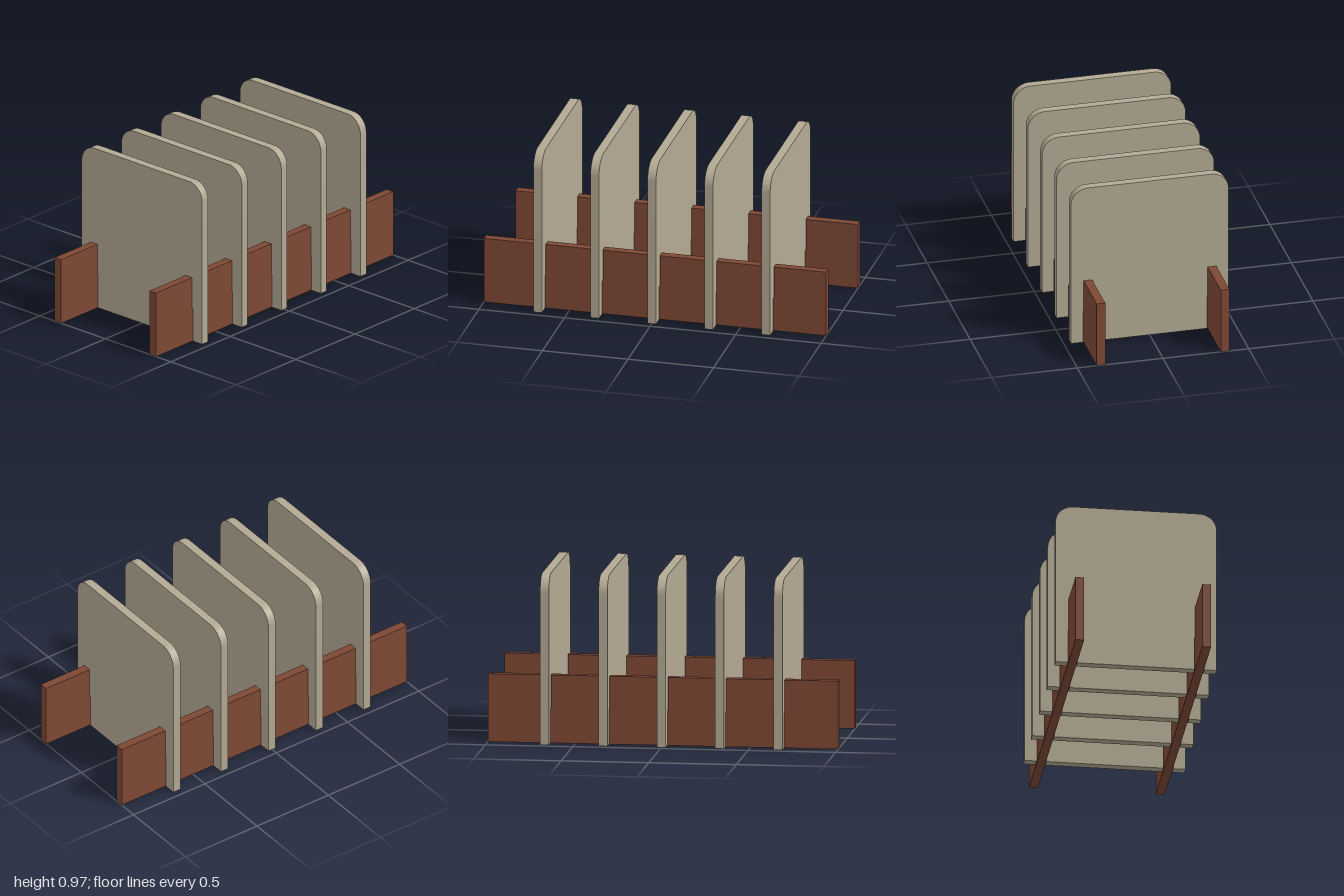
import * as THREE from 'three';
import { toCreasedNormals } from 'three/addons/utils/BufferGeometryUtils.js';

const THICK = 0.05;          // board thickness
const SLOT = 0.028;          // half width of every slot
const SLOT_Y = 0.2;          // height where the slots of the two boards meet
const RAIL_Z = 0.362;
const PANEL_X = [-0.667, -0.333, 0, 0.333, 0.667];

// Extrude a board outline and centre its thickness on z = 0
function board(shape) {
  const geometry = new THREE.ExtrudeGeometry(shape, { depth: THICK, bevelEnabled: false, curveSegments: 12 });
  geometry.translate(0, 0, -THICK / 2);
  return toCreasedNormals(geometry, 0.5);
}

// Upright divider: rounded top corners, two slots cut up from the bottom edge
function dividerGeometry() {
  const w = 0.46, h = 0.972, r = 0.1;
  const s = new THREE.Shape();
  s.moveTo(-w, 0);
  for (const c of [-RAIL_Z, RAIL_Z]) {
    s.lineTo(c - SLOT, 0);
    s.lineTo(c - SLOT, SLOT_Y);
    s.lineTo(c + SLOT, SLOT_Y);
    s.lineTo(c + SLOT, 0);
  }
  s.lineTo(w, 0);
  s.lineTo(w, h - r);
  s.absarc(w - r, h - r, r, 0, Math.PI / 2, false);
  s.lineTo(-w + r, h);
  s.absarc(-w + r, h - r, r, Math.PI / 2, Math.PI, false);
  s.closePath();
  return board(s).rotateY(-Math.PI / 2);
}

// Long rail: one slot cut down from the top edge for each divider
function railGeometry() {
  const h = 0.39;
  const s = new THREE.Shape();
  s.moveTo(-1, 0);
  s.lineTo(1, 0);
  s.lineTo(1, h);
  for (const c of [...PANEL_X].reverse()) {
    s.lineTo(c + SLOT, h);
    s.lineTo(c + SLOT, SLOT_Y);
    s.lineTo(c - SLOT, SLOT_Y);
    s.lineTo(c - SLOT, h);
  }
  s.lineTo(-1, h);
  s.closePath();
  return board(s);
}

export function createModel() {
  const group = new THREE.Group();
  group.name = 'slottedRack';

  const beige = new THREE.MeshStandardMaterial({ color: 0xb3a993 });
  beige.name = 'beigeBoard';
  const brown = new THREE.MeshStandardMaterial({ color: 0x7e4835 });
  brown.name = 'redBrownWood';

  // Dividers
  const dividerShape = dividerGeometry();
  PANEL_X.forEach((x, i) => {
    const divider = new THREE.Mesh(dividerShape, beige);
    divider.name = `divider${i + 1}`;
    divider.position.x = x;
    group.add(divider);
  });

  // Front and back rails
  const railShape = railGeometry();
  for (const [name, z] of [['frontRail', RAIL_Z], ['backRail', -RAIL_Z]]) {
    const rail = new THREE.Mesh(railShape, brown);
    rail.name = name;
    rail.position.z = z;
    group.add(rail);
  }
  return group;
}
